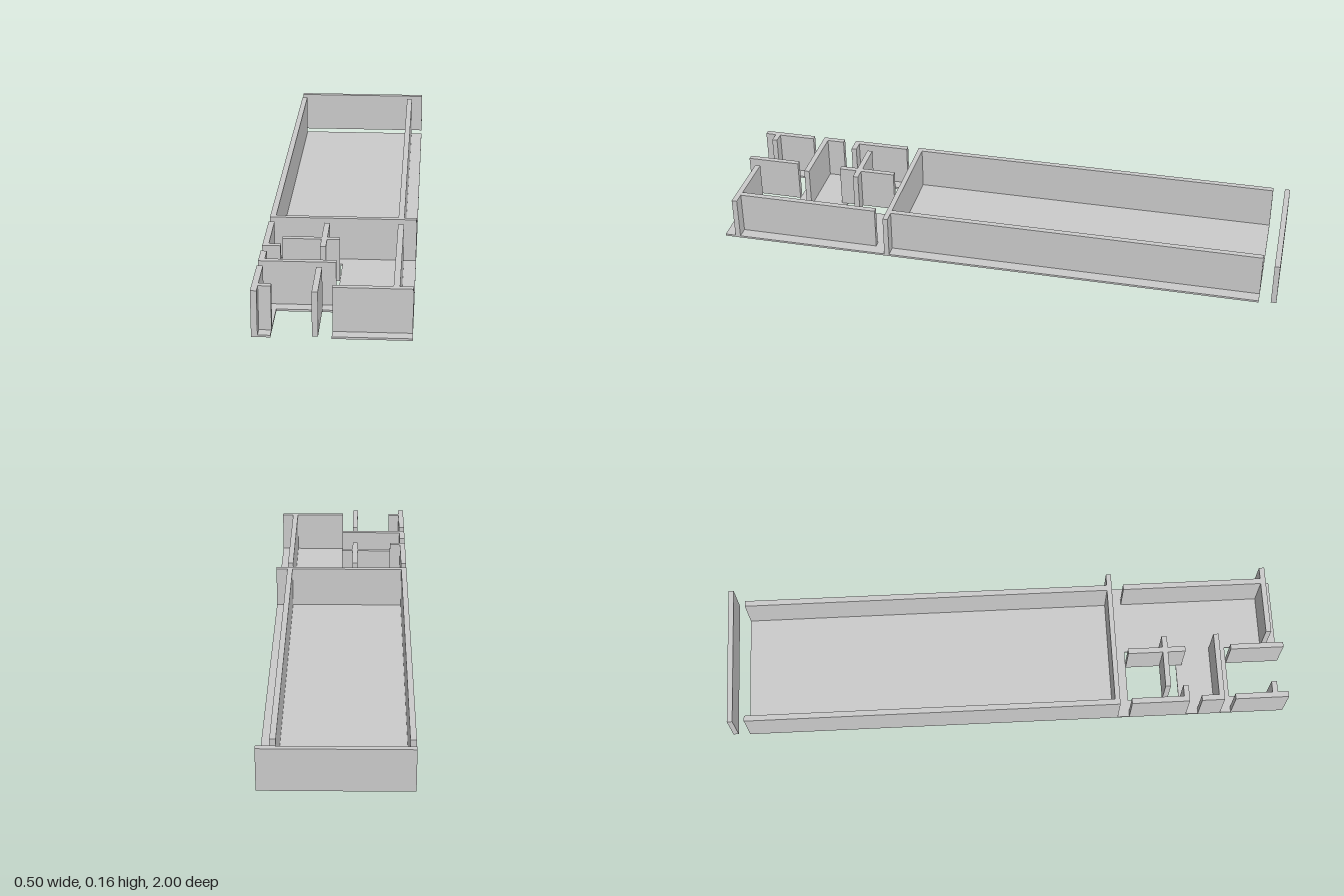
import * as THREE from 'three';

const FLOOR = 0.007;
const TOP = 0.157;

export function createModel() {
  const model = new THREE.Group();
  model.name = 'floorPlan';
  const material = new THREE.MeshStandardMaterial({ color: 0xcccccc, flatShading: true });

  // Floor slab: drawn in plan as (x, -z), with a front notch and a square opening
  const plan = new THREE.Shape([
    [-0.25, 0.94], [-0.25, -1], [-0.19, -1], [-0.19, -0.81],
    [0, -0.81], [0, -1], [0.25, -1], [0.25, 0.94],
  ].map(([x, y]) => new THREE.Vector2(x, y)));
  plan.holes.push(new THREE.Path([
    [-0.19, -0.44], [0, -0.44], [0, -0.625], [-0.19, -0.625],
  ].map(([x, y]) => new THREE.Vector2(x, y))));
  const slab = new THREE.ExtrudeGeometry(plan, { depth: FLOOR, bevelEnabled: false });
  slab.rotateX(-Math.PI / 2);
  const floor = new THREE.Mesh(slab, material);
  floor.name = 'floor';
  model.add(floor);

  // Upright wall filling a rectangle of the plan
  function wall(name, x0, x1, z0, z1) {
    const mesh = new THREE.Mesh(new THREE.BoxGeometry(x1 - x0, TOP - FLOOR, z1 - z0), material);
    mesh.position.set((x0 + x1) / 2, (TOP + FLOOR) / 2, (z0 + z1) / 2);
    mesh.name = name;
    model.add(mesh);
  }

  // Large rear hall
  wall('backWall', -0.25, 0.25, -1, -0.981);
  wall('hallRightWall', -0.25, -0.23, -0.94, 0.38);
  wall('hallLeftWall', 0.188, 0.208, -0.94, 0.38);
  wall('hallCrossWall', -0.25, 0.25, 0.38, 0.398);

  // Long front room
  wall('frontRoomSideWall', 0.188, 0.208, 0.44, 0.943);
  wall('frontWall', 0, 0.25, 0.943, 0.962);

  // Small rooms on the right side
  wall('rearRoomOuterWall', -0.25, -0.23, 0.44, 0.627);
  wall('rearRoomStub', -0.25, -0.19, 0.627, 0.646);
  wall('rearRoomPartition', -0.061, -0.042, 0.44, 0.646);
  wall('rearRoomCrossWall', -0.19, 0, 0.564, 0.583);
  wall('middleOuterWall', -0.25, -0.23, 0.69, 0.752);
  wall('middleCrossWall', -0.25, 0, 0.752, 0.771);
  wall('frontOuterWall', -0.25, -0.23, 0.81, 1);
  wall('frontStub', -0.23, -0.19, 0.943, 0.962);
  wall('frontPartition', -0.061, -0.042, 0.81, 1);

  return model;
}
